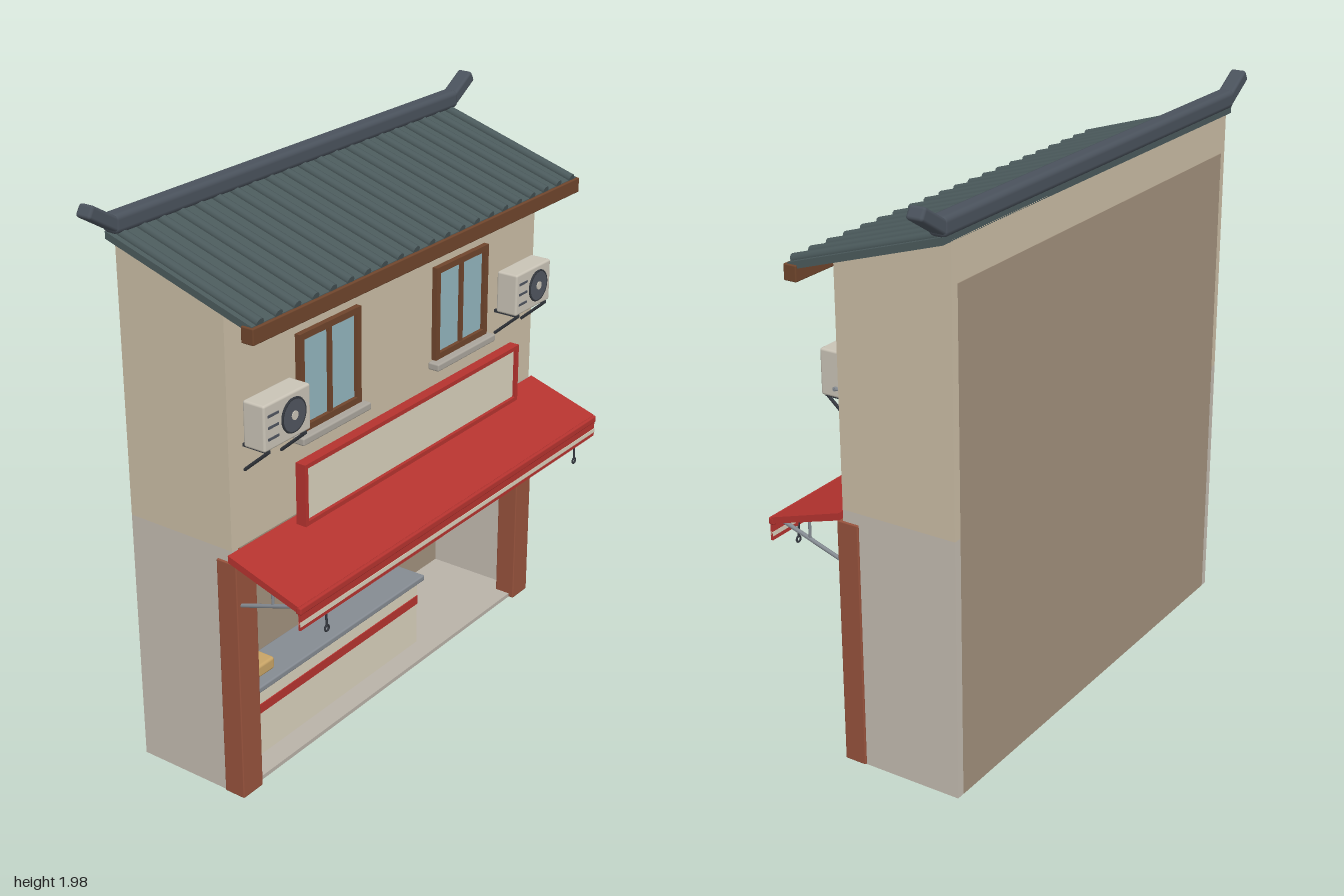
import * as THREE from 'three';
import { RoundedBoxGeometry } from 'three/addons/geometries/RoundedBoxGeometry.js';

const mat = (color) => new THREE.MeshStandardMaterial({ color });
const M = {
  plaster: mat(0xcabda5), base: mat(0xc3bbb0), back: mat(0xa2917d), floor: mat(0xb9b2a8),
  tile: mat(0x4b5a5c), ridge: mat(0x4a525c), wood: mat(0x6f452c), column: mat(0x96523c),
  red: mat(0xb5332f), cream: mat(0xd8d0bc), glass: mat(0x93b5be), stone: mat(0xaaa59c),
  metal: mat(0x858b92), dark: mat(0x34383f), unit: mat(0xc9c3b6), fan: mat(0x50555f), tan: mat(0xc8a466),
};

function add(parent, name, geometry, material, x = 0, y = 0, z = 0) {
  const mesh = new THREE.Mesh(geometry, material);
  mesh.name = name;
  mesh.position.set(x, y, z);
  parent.add(mesh);
  return mesh;
}

// Box given by its extents on each axis; r rounds the edges
function box(parent, name, material, [x0, x1], [y0, y1], [z0, z1], r = 0) {
  const s = [x1 - x0, y1 - y0, z1 - z0];
  const g = r ? new RoundedBoxGeometry(...s, 2, r) : new THREE.BoxGeometry(...s);
  return add(parent, name, g, material, (x0 + x1) / 2, (y0 + y1) / 2, (z0 + z1) / 2);
}

// Round bar between two points
function bar(parent, name, material, a, b, r, sides = 8) {
  const p = new THREE.Vector3(...a), q = new THREE.Vector3(...b);
  const d = q.clone().sub(p);
  const mesh = add(parent, name, new THREE.CylinderGeometry(r, r, d.length(), sides), material);
  mesh.position.copy(p).add(q).multiplyScalar(0.5);
  mesh.quaternion.setFromUnitVectors(new THREE.Vector3(0, 1, 0), d.normalize());
  return mesh;
}

// Side profile of [z, y] points, extruded across x and centred
function profile(parent, name, material, points, width) {
  const shape = new THREE.Shape(points.map(([z, y]) => new THREE.Vector2(-z, y)));
  const g = new THREE.ExtrudeGeometry(shape, { depth: width, bevelEnabled: false });
  g.translate(0, 0, -width / 2).rotateY(Math.PI / 2);
  return add(parent, name, g, material);
}

// Rectangular frame with an opening
function frame(parent, name, material, w, h, t, depth, x, y, z) {
  const s = new THREE.Shape([[-w, -h], [w, -h], [w, h], [-w, h]].map(([a, b]) => new THREE.Vector2(a / 2, b / 2)));
  const a = w / 2 - t, b = h / 2 - t;
  s.holes.push(new THREE.Path([[-a, -b], [-a, b], [a, b], [a, -b]].map((p) => new THREE.Vector2(...p))));
  return add(parent, name, new THREE.ExtrudeGeometry(s, { depth, bevelEnabled: false }), material, x, y, z);
}

function group(parent, name, x = 0, y = 0, z = 0) {
  const g = new THREE.Group();
  g.name = name;
  g.position.set(x, y, z);
  parent.add(g);
  return g;
}

function buildShell(root) {
  const g = group(root, 'shell');
  profile(g, 'upperStorey', M.plaster, [[0.07, 0.91], [-0.35, 0.91], [-0.35, 1.855], [0.07, 1.72]], 1.71);
  box(g, 'floor', M.floor, [-0.85, 0.85], [0, 0.015], [-0.345, 0.07]);
  box(g, 'backWall', M.back, [-0.825, 0.825], [0.002, 1.72], [-0.352, -0.32]);
  for (const s of [-1, 1]) {
    const span = (a, b) => [Math.min(s * a, s * b), Math.max(s * a, s * b)];
    box(g, 'sideWall', M.base, span(0.825, 0.855), [0, 0.91], [-0.35, 0.07]);
    box(g, 'column', M.column, span(0.765, 0.862), [0, 0.87], [0.01, 0.09], 0.004);
  }
}

function buildRoof(root) {
  const g = group(root, 'roof');
  const low = (z) => 1.742 - 0.31 * z; // underside of the slope
  profile(g, 'roofSlab', M.tile,
    [[0.212, low(0.212)], [-0.35, low(-0.35)], [-0.35, low(-0.35) + 0.024], [0.212, low(0.212) + 0.024]], 1.79);
  for (let i = 0; i < 21; i++) {
    const x = -0.86 + i * 0.086;
    bar(g, 'tileRib', M.tile, [x, low(0.212) + 0.026, 0.214], [x, low(-0.34) + 0.026, -0.34], 0.017, 10);
  }
  box(g, 'eaveBeam', M.wood, [-0.902, 0.902], [1.645, 1.698], [0.175, 0.222], 0.004);
  box(g, 'ridge', M.ridge, [-0.9, 0.9], [1.87, 1.933], [-0.36, -0.298], 0.018);
  // Upturned ridge ends
  for (const s of [-1, 1]) {
    const tip = add(g, 'ridgeEnd', new RoundedBoxGeometry(0.14, 0.044, 0.058, 2, 0.01), M.ridge, s * 0.936, 1.932, -0.329);
    tip.rotation.z = s * 0.55;
  }
}

function buildWindow(root, x) {
  const g = group(root, 'window', x, 1.36, 0.07);
  box(g, 'glass', M.glass, [-0.145, 0.145], [-0.16, 0.16], [-0.005, 0.006]);
  frame(g, 'windowFrame', M.wood, 0.315, 0.335, 0.022, 0.02, 0, 0, 0);
  box(g, 'mullion', M.wood, [-0.008, 0.008], [-0.15, 0.15], [0, 0.017]);
  box(g, 'sill', M.stone, [-0.178, 0.178], [-0.197, -0.17], [0, 0.045], 0.006);
}

function buildAirConditioner(root, x) {
  const g = group(root, 'airConditioner', x, 1.333, 0);
  box(g, 'casing', M.unit, [-0.112, 0.112], [-0.077, 0.077], [0.09, 0.174], 0.008);
  add(g, 'fanDisc', new THREE.CylinderGeometry(0.055, 0.055, 0.008, 28).rotateX(Math.PI / 2), M.fan, 0.026, 0.002, 0.176);
  add(g, 'fanRing', new THREE.TorusGeometry(0.055, 0.004, 6, 32), M.dark, 0.026, 0.002, 0.177);
  add(g, 'fanHub', new THREE.CylinderGeometry(0.015, 0.015, 0.006, 16).rotateX(Math.PI / 2), M.unit, 0.026, 0.002, 0.18);
  for (const y of [-0.038, 0, 0.038]) box(g, 'vent', M.fan, [-0.095, -0.045], [y - 0.004, y + 0.004], [0.17, 0.177]);
  for (const s of [-1, 1]) {
    box(g, 'bracketArm', M.dark, [s * 0.088 - 0.005, s * 0.088 + 0.005], [-0.088, -0.077], [0.07, 0.172]);
    bar(g, 'bracketStrut', M.dark, [s * 0.088, -0.084, 0.168], [s * 0.088, -0.168, 0.072], 0.0055);
  }
  bar(g, 'pipe', M.metal, [0.105, -0.044, 0.115], [0.122, -0.044, 0.115], 0.007);
  bar(g, 'pipeToWall', M.metal, [0.119, -0.044, 0.119], [0.119, -0.044, 0.068], 0.004);
}

function buildSign(root) {
  const g = group(root, 'signBoard');
  frame(g, 'signFrame', M.red, 1.23, 0.215, 0.015, 0.038, 0, 1.033, 0.134);
  box(g, 'signPanel', M.cream, [-0.602, 0.602], [0.938, 1.128], [0.138, 0.16]);
  for (const x of [-0.4, 0.4]) box(g, 'signMount', M.metal, [x - 0.03, x + 0.03], [0.99, 1.072], [0.065, 0.138]);
}

function buildAwning(root) {
  const g = group(root, 'awning');
  profile(g, 'canopy', M.red, [[0.07, 0.88], [0.07, 0.905], [0.345, 0.817], [0.345, 0.795]], 1.75);
  box(g, 'frontRail', M.red, [-0.876, 0.876], [0.79, 0.816], [0.334, 0.356], 0.006);
  box(g, 'valance', M.red, [-0.873, 0.873], [0.735, 0.8], [0.343, 0.351]);
  box(g, 'valanceStripe', M.cream, [-0.873, 0.873], [0.749, 0.765], [0.342, 0.353]);
  for (const s of [-1, 1]) {
    bar(g, 'brace', M.metal, [s * 0.84, 0.718, 0.085], [s * 0.84, 0.8, 0.335], 0.007);
    bar(g, 'post', M.metal, [s * 0.84, 0.76, 0.217], [s * 0.84, 0.848, 0.217], 0.005);
    bar(g, 'hookRod', M.dark, [s * 0.74, 0.8, 0.342], [s * 0.74, 0.692, 0.348], 0.004);
    add(g, 'hookRing', new THREE.TorusGeometry(0.01, 0.0035, 6, 16), M.dark, s * 0.74, 0.682, 0.348);
  }
}

function buildCounter(root) {
  const g = group(root, 'counter');
  box(g, 'counterBody', M.cream, [-0.727, 0.257], [0.015, 0.275], [-0.13, -0.012]);
  box(g, 'counterStripe', M.red, [-0.727, 0.257], [0.18, 0.214], [-0.03, -0.008]);
  box(g, 'counterTop', M.metal, [-0.748, 0.277], [0.274, 0.297], [-0.15, 0.008], 0.006);
  box(g, 'breadBox', M.tan, [-0.712, -0.544], [0.297, 0.343], [-0.11, -0.03], 0.01);
}

export function createModel() {
  const root = new THREE.Group();
  root.name = 'shopHouse';
  buildShell(root);
  buildRoof(root);
  for (const s of [-1, 1]) {
    buildWindow(root, s * 0.37);
    buildAirConditioner(root, s * 0.696);
  }
  buildSign(root);
  buildAwning(root);
  buildCounter(root);
  return root;
}
